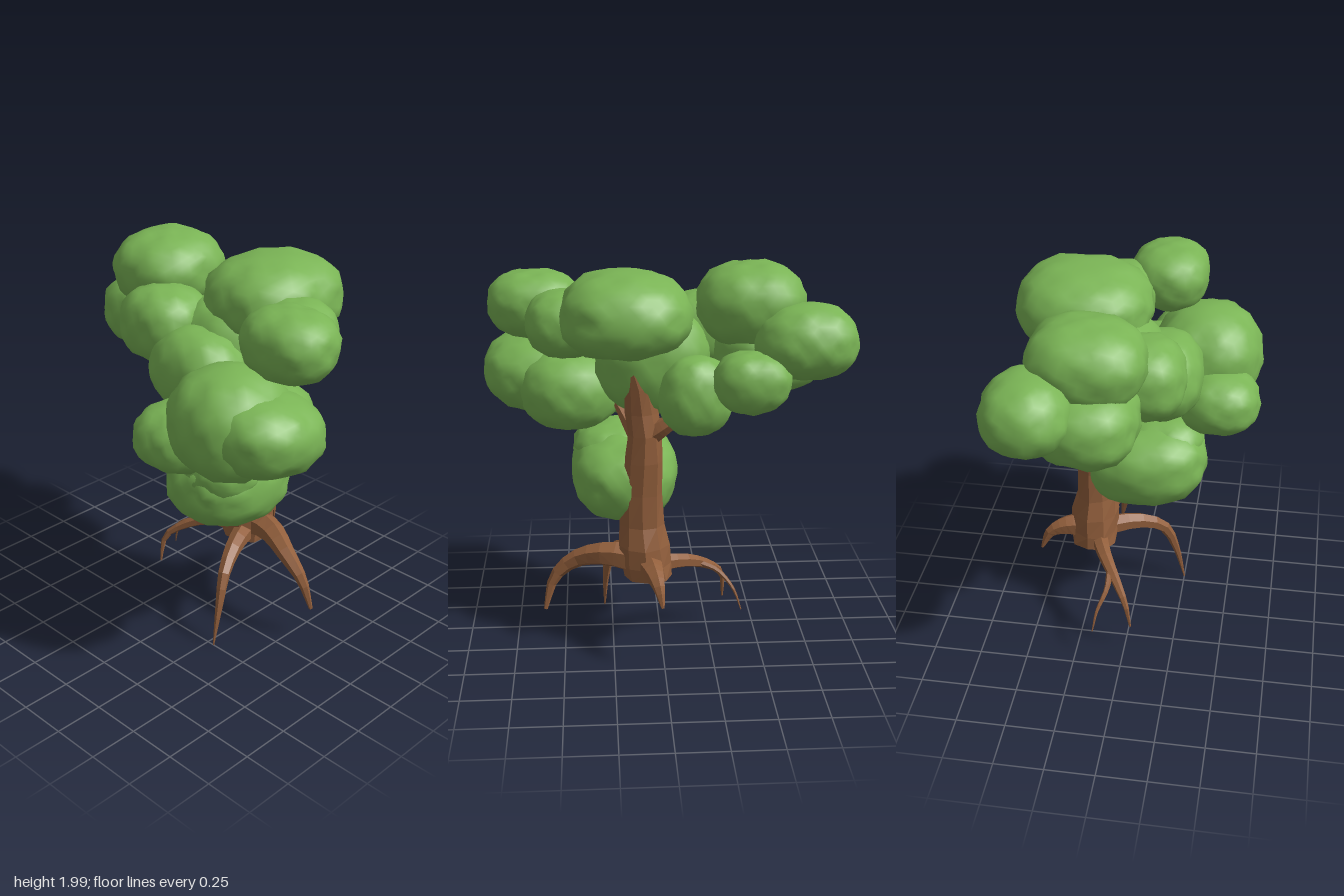
import * as THREE from 'three';
import { mergeVertices } from 'three/addons/utils/BufferGeometryUtils.js';

const foliage = new THREE.MeshStandardMaterial({ color: 0x7ab455 });
foliage.name = 'leaf green';
const bark = new THREE.MeshStandardMaterial({ color: 0x925f3c });
bark.name = 'bark brown';

// Flat facets with hard edges
function facet(geometry) {
  const g = geometry.index ? geometry.toNonIndexed() : geometry;
  g.computeVertexNormals();
  return g;
}

// Lumpy, slightly boxy, smooth-shaded leaf cluster
function leafCluster([x, y, z, rx, ry, rz, tilt = 0], seed) {
  let g = new THREE.IcosahedronGeometry(1, 6);
  g.deleteAttribute('normal');
  g.deleteAttribute('uv');
  g = mergeVertices(g, 1e-4);
  const p = g.attributes.position;
  const v = new THREE.Vector3();
  const power = 2.35;
  for (let i = 0; i < p.count; i++) {
    v.fromBufferAttribute(p, i);
    const box = Math.pow(Math.abs(v.x) ** power + Math.abs(v.y) ** power + Math.abs(v.z) ** power, -1 / power);
    const broad = Math.sin(3.1 * v.x + seed * 1.7) + Math.sin(3.4 * v.y + seed * 2.3) + Math.sin(2.9 * v.z + seed * 0.9);
    const fine = Math.sin(9 * v.x + seed) * Math.sin(8 * v.y + 2 * seed) * Math.sin(10 * v.z - seed);
    v.multiplyScalar(box * (1 + 0.018 * broad + 0.04 * fine));
    p.setXYZ(i, v.x * rx, v.y * ry, v.z * rz);
  }
  g.computeVertexNormals();
  const mesh = new THREE.Mesh(g, foliage);
  mesh.position.set(x, y, z);
  mesh.rotation.z = tilt;
  return mesh;
}

// Tapered six-sided limb following a curve
function limb(name, points, r0, r1) {
  const curve = new THREE.CatmullRomCurve3(points.map(q => new THREE.Vector3(...q)));
  const segments = 10, sides = 6;
  const g = new THREE.TubeGeometry(curve, segments, 1, sides, false);
  const p = g.attributes.position;
  const v = new THREE.Vector3();
  for (let i = 0; i <= segments; i++) {
    const t = i / segments;
    const c = curve.getPointAt(t);
    const r = r0 + (r1 - r0) * t;
    for (let j = 0; j <= sides; j++) {
      const k = i * (sides + 1) + j;
      v.fromBufferAttribute(p, k).sub(c).multiplyScalar(r).add(c);
      p.setXYZ(k, v.x, v.y, v.z);
    }
  }
  const mesh = new THREE.Mesh(facet(g), bark);
  mesh.name = name;
  return mesh;
}

// Trunk lofted through uneven rings: [y, centre x, centre z, radius x, radius z]
function trunk() {
  const rings = [
    [0.40, 0.225, 0.07, 0.125, 0.13], [0.47, 0.225, 0.08, 0.125, 0.13],
    [0.57, 0.225, 0.09, 0.125, 0.125], [0.68, 0.22, 0.1, 0.105, 0.11],
    [0.85, 0.225, 0.1, 0.095, 0.105], [1.02, 0.235, 0.09, 0.085, 0.1],
    [1.16, 0.235, 0.085, 0.085, 0.085], [1.27, 0.24, 0.1, 0.075, 0.08],
    [1.4, 0.265, 0.115, 0.055, 0.065], [1.5, 0.285, 0.145, 0.032, 0.035],
    [1.59, 0.29, 0.165, 0.012, 0.013]
  ];
  const n = 9, pos = [], idx = [];
  rings.forEach(([y, cx, cz, rx, rz], i) => {
    for (let j = 0; j < n; j++) {
      const a = (j / n) * Math.PI * 2;
      const k = 1 + 0.06 * Math.sin(j * 2.4 + i * 1.3);
      pos.push(cx + rx * k * Math.cos(a), y, cz - rz * k * Math.sin(a));
    }
  });
  for (let i = 0; i < rings.length - 1; i++) {
    for (let j = 0; j < n; j++) {
      const a = i * n + j, b = i * n + (j + 1) % n;
      idx.push(a, b, b + n, a, b + n, a + n);
    }
  }
  for (let j = 1; j < n - 1; j++) idx.push(0, j + 1, j);
  const g = new THREE.BufferGeometry();
  g.setAttribute('position', new THREE.Float32BufferAttribute(pos, 3));
  g.setIndex(idx);
  const mesh = new THREE.Mesh(facet(g), bark);
  mesh.name = 'trunk';
  return mesh;
}

export function createModel() {
  const tree = new THREE.Group();
  tree.name = 'tree';
  tree.add(trunk());

  // Arching roots
  const roots = new THREE.Group();
  roots.name = 'roots';
  roots.add(
    limb('rightRoot', [[0.2, 0.45, 0.1], [0, 0.445, 0.19], [-0.13, 0.375, 0.25], [-0.2, 0.21, 0.28], [-0.25, 0, 0.29]], 0.06, 0.004),
    limb('frontRoot', [[0.23, 0.48, 0.1], [0.19, 0.5, 0.28], [0.135, 0.45, 0.44], [0.13, 0.35, 0.55], [0.155, 0.18, 0.6]], 0.085, 0.01),
    limb('leftRoot', [[0.24, 0.47, 0.08], [0.38, 0.475, 0.05], [0.46, 0.44, 0.03], [0.51, 0.34, 0.01]], 0.085, 0.008),
    limb('backRoot', [[0.2, 0.44, 0.04], [0.14, 0.43, -0.12], [0.06, 0.37, -0.25], [0, 0.29, -0.33], [-0.03, 0.14, -0.34]], 0.05, 0.005),
    limb('backRootFork', [[0.1, 0.41, -0.18], [0.1, 0.35, -0.3], [0.14, 0.26, -0.38], [0.16, 0.15, -0.42]], 0.02, 0.003)
  );
  tree.add(roots);

  // Short branches reaching into the crown
  const branches = new THREE.Group();
  branches.name = 'branches';
  branches.add(
    limb('rightBranch', [[0.22, 1.1, 0.1], [0.12, 1.16, 0.15], [0, 1.26, 0.22]], 0.05, 0.02),
    limb('backBranch', [[0.24, 1.14, 0.08], [0.27, 1.2, 0], [0.29, 1.27, -0.1]], 0.06, 0.03),
    limb('upperBranch', [[0.26, 1.3, 0.1], [0.2, 1.4, 0.06], [0.12, 1.5, 0.05]], 0.045, 0.025)
  );
  tree.add(branches);

  // Crown: centre x, y, z, radii x, y, z and sideways tilt of every cluster
  const clusters = {
    frontRightCluster: [-0.32, 1.38, 0.46, 0.285, 0.26, 0.28],
    frontRightLowerCluster: [-0.11, 1.3, 0.45, 0.26, 0.2, 0.27],
    frontCluster: [-0.28, 1.36, 0.62, 0.27, 0.2, 0.28, -0.15],
    farRightCluster: [-0.41, 1.25, 0.22, 0.21, 0.16, 0.21],
    frontTopCluster: [-0.1, 1.74, 0.62, 0.21, 0.165, 0.225],
    frontInnerCluster: [0.13, 1.69, 0.45, 0.18, 0.17, 0.2],
    leftTopCluster: [0.27, 1.77, 0.17, 0.335, 0.2, 0.315],
    innerCluster: [0.09, 1.5, 0.04, 0.24, 0.26, 0.28],
    innerRightCluster: [-0.12, 1.46, 0.07, 0.21, 0.21, 0.26],
    rightTopCluster: [-0.07, 1.61, -0.22, 0.21, 0.19, 0.23],
    backTopCluster: [0.15, 1.78, -0.43, 0.275, 0.21, 0.255],
    backCluster: [0.38, 1.65, -0.67, 0.215, 0.18, 0.235],
    backLowerCluster: [0.15, 1.54, -0.53, 0.26, 0.19, 0.27],
    backLeftCluster: [0.48, 1.48, -0.41, 0.145, 0.15, 0.18],
    leftLowerCluster: [0.3, 1.37, -0.16, 0.165, 0.19, 0.18],
    lowCluster: [-0.03, 0.87, 0.18, 0.335, 0.21, 0.275, -0.1],
    lowUpperCluster: [-0.12, 0.98, 0.24, 0.21, 0.14, 0.2]
  };
  const crown = new THREE.Group();
  crown.name = 'crown';
  Object.entries(clusters).forEach(([name, shape], i) => {
    const mesh = leafCluster(shape, i + 1);
    mesh.name = name;
    crown.add(mesh);
  });
  tree.add(crown);
  return tree;
}
